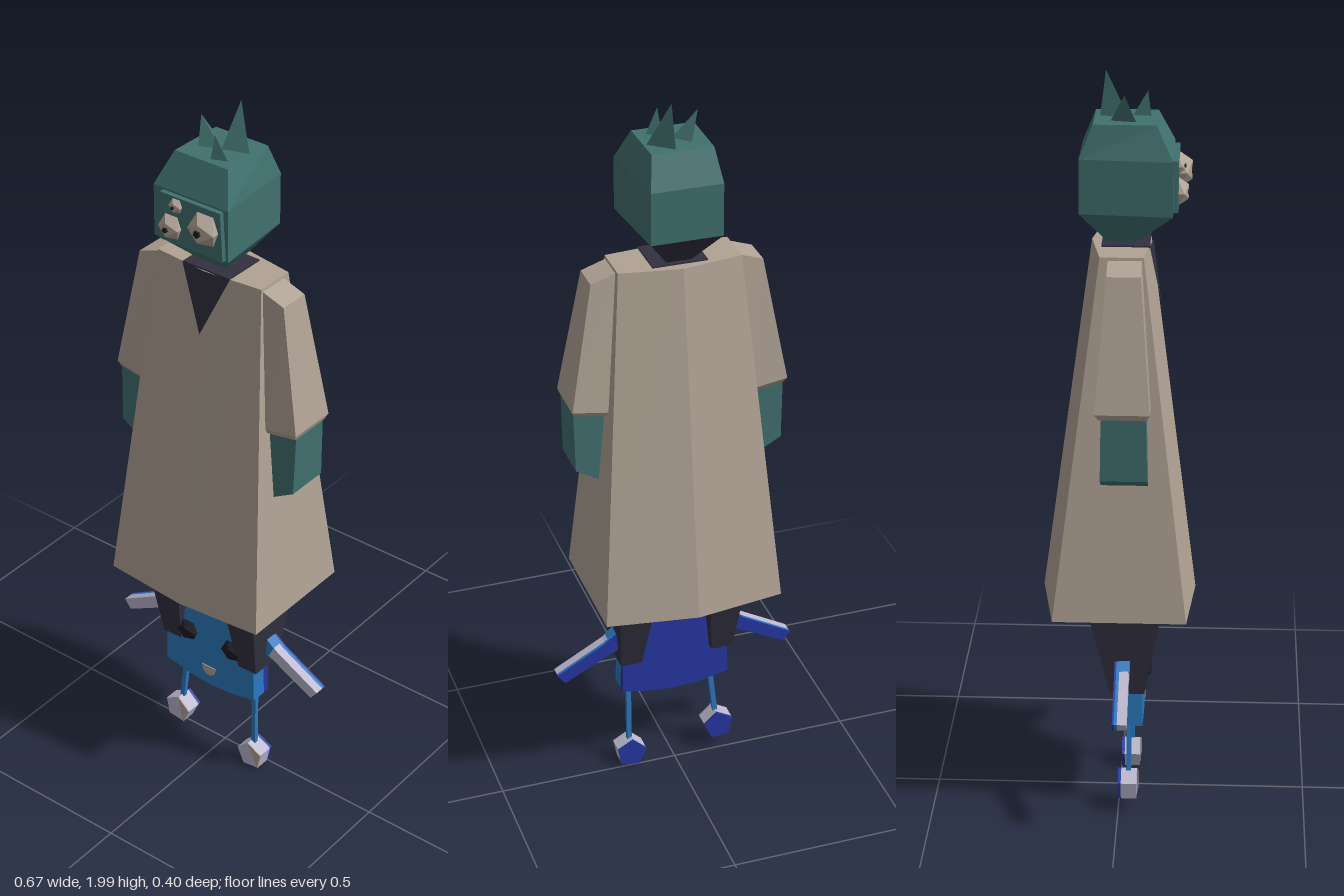
import * as THREE from 'three';

const mat = (name, color) => {
  const m = new THREE.MeshStandardMaterial({ color, side: THREE.DoubleSide, flatShading: true });
  m.name = name;
  return m;
};

// Closed faceted solid through horizontal rings (bottom to top, counter-clockwise from above)
function loft(rings) {
  const p = [], n = rings[0].length;
  const tri = (a, b, c) => p.push(...a, ...b, ...c);
  for (let r = 0; r < rings.length - 1; r++) {
    for (let i = 0; i < n; i++) {
      const j = (i + 1) % n, lo = rings[r], hi = rings[r + 1];
      tri(lo[i], lo[j], hi[j]);
      tri(lo[i], hi[j], hi[i]);
    }
  }
  const bottom = rings[0], top = rings[rings.length - 1];
  for (let i = 1; i < n - 1; i++) {
    tri(bottom[0], bottom[i + 1], bottom[i]);
    tri(top[0], top[i], top[i + 1]);
  }
  const g = new THREE.BufferGeometry();
  g.setAttribute('position', new THREE.Float32BufferAttribute(p, 3));
  g.computeVertexNormals();
  return g;
}

// Four-sided ring; s mirrors it, and inner/outer edges may have different heights
function ring(s, xi, xo, yi, yo, zb, zf) {
  const [l, r] = s > 0 ? [[xi, yi], [xo, yo]] : [[-xo, yo], [-xi, yi]];
  return [[...l, zf], [...r, zf], [...r, zb], [...l, zb]];
}

// Flat outline extruded from z0 to z1
function slab(points, z0, z1) {
  const shape = new THREE.Shape(points.map(([x, y]) => new THREE.Vector2(x, y)));
  return new THREE.ExtrudeGeometry(shape, { depth: z1 - z0, bevelEnabled: false }).translate(0, 0, z0);
}

export function createModel() {
  const model = new THREE.Group();
  const skin = mat('teal skin', 0x40706e);
  const cloth = mat('tan cloth', 0xb1a395);
  const dark = mat('dark cloth', 0x323040);
  const blue = mat('blue', 0x2c7abf);
  const deepBlue = mat('deep blue', 0x2636a2);
  const pale = mat('pale lavender', 0xbcb7cf);
  const black = mat('black', 0x1b1b22);
  const add = (name, geo, material, parent = model) => {
    const m = new THREE.Mesh(geo, material);
    m.name = name;
    parent.add(m);
    return m;
  };

  // Coat with a centre ridge at front and back
  const hex = (y, x, zc, zf, zb, zbc) =>
    [[-x, y, zf], [0, y, zc], [x, y, zf], [x, y, zb], [0, y, zbc], [-x, y, zb]];
  add('coat', loft([
    hex(0.61, 0.243, 0.2, 0.18, -0.167, -0.203),
    hex(1.57, 0.163, 0.08, 0.065, -0.045, -0.072),
  ]), cloth);
  add('coatLining', loft([
    hex(0.605, 0.215, 0.172, 0.155, -0.142, -0.175),
    hex(0.611, 0.215, 0.172, 0.155, -0.142, -0.175),
  ]), dark);

  // V-shaped shirt front folded over the coat ridge, with the collar opening on top
  const v = new THREE.BufferGeometry();
  v.setAttribute('position', new THREE.Float32BufferAttribute([
    0, 1.4, 0.105, 0.075, 1.572, 0.077, 0, 1.572, 0.084,
    0, 1.4, 0.105, 0, 1.572, 0.084, -0.075, 1.572, 0.077,
  ], 3));
  v.computeVertexNormals();
  add('shirtFront', v, dark);
  add('collarOpening', loft([1.568, 1.574].map(y => ring(1, -0.073, 0.073, y, y, -0.045, 0.077))), dark);

  // Sleeves, hands and trouser legs
  for (const s of [1, -1]) {
    const side = s > 0 ? 'left' : 'right';
    add(side + 'Sleeve', loft([
      ring(s, 0.195, 0.284, 1.17, 1.185, -0.043, 0.078),
      ring(s, 0.195, 0.29, 1.185, 1.2, -0.053, 0.085),
      ring(s, 0.155, 0.228, 1.565, 1.54, -0.025, 0.06),
    ]), cloth);
    add(side + 'Hand', loft([
      ring(s, 0.22, 0.281, 0.985, 1.02, -0.04, 0.08),
      ring(s, 0.2, 0.284, 1.19, 1.19, -0.037, 0.075),
    ]), skin);
    add(side + 'Leg', loft([
      ring(s, 0.1, 0.16, 0.365, 0.365, -0.02, 0.07),
      ring(s, 0.075, 0.18, 0.612, 0.612, -0.08, 0.115),
    ]), dark);
  }

  // Head: wider in front, with a dark nape (third side of the lowest band)
  const headRing = (y, xf, xb, zf, zb) => [[-xf, y, zf], [xf, y, zf], [xb, y, zb], [-xb, y, zb]];
  const headGeo = loft([
    headRing(1.57, 0.035, 0.03, 0.04, -0.03),
    headRing(1.66, 0.115, 0.094, 0.135, -0.1),
    headRing(1.8, 0.115, 0.094, 0.135, -0.1),
    headRing(1.885, 0.082, 0.08, 0.093, -0.065),
  ]);
  headGeo.addGroup(0, 12, 0);
  headGeo.addGroup(12, 6, 1);
  headGeo.addGroup(18, headGeo.attributes.position.count - 18, 0);
  add('head', headGeo, [skin, dark]);
  add('facePlate', slab([[-0.088, 1.665], [0.108, 1.665], [0.1, 1.795], [-0.085, 1.795]], 0.13, 0.148), skin);

  // Three mismatched faceted eyes
  for (const [x, y, r] of [[0.055, 1.738, 0.047], [-0.05, 1.71, 0.036], [-0.034, 1.772, 0.021]]) {
    const eye = new THREE.Group();
    eye.name = 'eye';
    eye.position.set(x, y, 0.148);
    model.add(eye);
    add('eyeball', new THREE.IcosahedronGeometry(r, 0).scale(1, 1, 0.8), cloth, eye);
    add('pupil', new THREE.CylinderGeometry(r * 0.22, r * 0.22, 0.006, 5).rotateX(Math.PI / 2), black, eye)
      .position.z = r * 0.7;
  }

  // Three-sided hair spikes
  const spikes = [
    { base: [[0.003, 0.022], [0.075, 0], [0.014, -0.052]], tip: [0.02, 2, -0.037] },
    { base: [[-0.05, 0.043], [0.005, 0.02], [-0.035, -0.025]], tip: [-0.064, 1.955, 0.012] },
    { base: [[0.015, 0.077], [0.057, 0.06], [0.02, 0.028]], tip: [0.022, 1.948, 0.068] },
  ];
  for (const { base, tip } of spikes) {
    add('hairSpike', loft([base.map(([x, z]) => [x, 1.88, z]), [tip, tip, tip]]), skin);
  }

  // Small flat companion: bright front, deep blue back
  const pet = new THREE.Group();
  pet.name = 'companion';
  model.add(pet);
  const bodyOutline = [[-0.155, 0.268], [-0.07, 0.25], [0, 0.245], [0.07, 0.25], [0.15, 0.264],
    [0.148, 0.37], [0.11, 0.46], [0.078, 0.55], [0.063, 0.585], [-0.065, 0.585],
    [-0.08, 0.55], [-0.11, 0.46], [-0.152, 0.37]];
  add('bodyFront', slab(bodyOutline, 0.02, 0.065), blue, pet);
  add('bodyBack', slab(bodyOutline, 0, 0.02), deepBlue, pet);
  add('mouth', slab([[-0.028, 0.308], [-0.023, 0.288], [-0.012, 0.279], [0.002, 0.279], [0.013, 0.288], [0.018, 0.308]],
    0.063, 0.068), cloth, pet);

  for (const s of [1, -1]) {
    // Arms in three layers: pale front, blue core, deep blue back
    const arm = [[0.11, 0.49], [0.165, 0.465], [0.2, 0.438], [0.335, 0.363], [0.315, 0.337],
      [0.185, 0.405], [0.11, 0.43]].map(([x, y]) => [s * x, y]);
    add('armFront', slab(arm, 0.005, 0.03), pale, pet);
    add('armCore', slab(arm, -0.003, 0.005), blue, pet);
    add('armBack', slab(arm, -0.008, -0.003), deepBlue, pet);
    const cuff = [[0.11, 0.492], [0.166, 0.467], [0.19, 0.446], [0.172, 0.41], [0.11, 0.428]];
    add('shoulder', slab(cuff.map(([x, y]) => [s * x, y]), 0.004, 0.032), blue, pet);

    // Blocky eyes
    add('companionEye', new THREE.IcosahedronGeometry(0.036, 0).scale(1, 0.9, 0.65), black, pet)
      .position.set(s * 0.077, 0.404, 0.066);

    // Stick legs with pentagonal feet
    const [hip, foot] = s > 0
      ? [new THREE.Vector3(0.126, 0.26, 0.03), new THREE.Vector3(0.125, 0.046, 0.026)]
      : [new THREE.Vector3(-0.111, 0.265, 0.03), new THREE.Vector3(-0.132, 0.083, 0.026)];
    const stick = add('stickLeg', new THREE.BoxGeometry(0.013, hip.distanceTo(foot), 0.013), blue, pet);
    stick.position.lerpVectors(hip, foot, 0.5);
    stick.rotation.z = Math.atan2(foot.x - hip.x, hip.y - foot.y);
    const penta = [0, 1, 2, 3, 4].map(i => {
      const a = i * Math.PI * 0.4 + Math.PI / 2 + s * 0.12;
      return [foot.x + 0.043 * Math.cos(a), foot.y + 0.043 * Math.sin(a)];
    });
    add('footFront', slab(penta, 0.008, 0.05), pale, pet);
    add('footBack', slab(penta, 0, 0.008), deepBlue, pet);
    add('footPatch', slab([penta[0], penta[3], penta[4]], 0.048, 0.053), cloth, pet);
  }
  return model;
}
